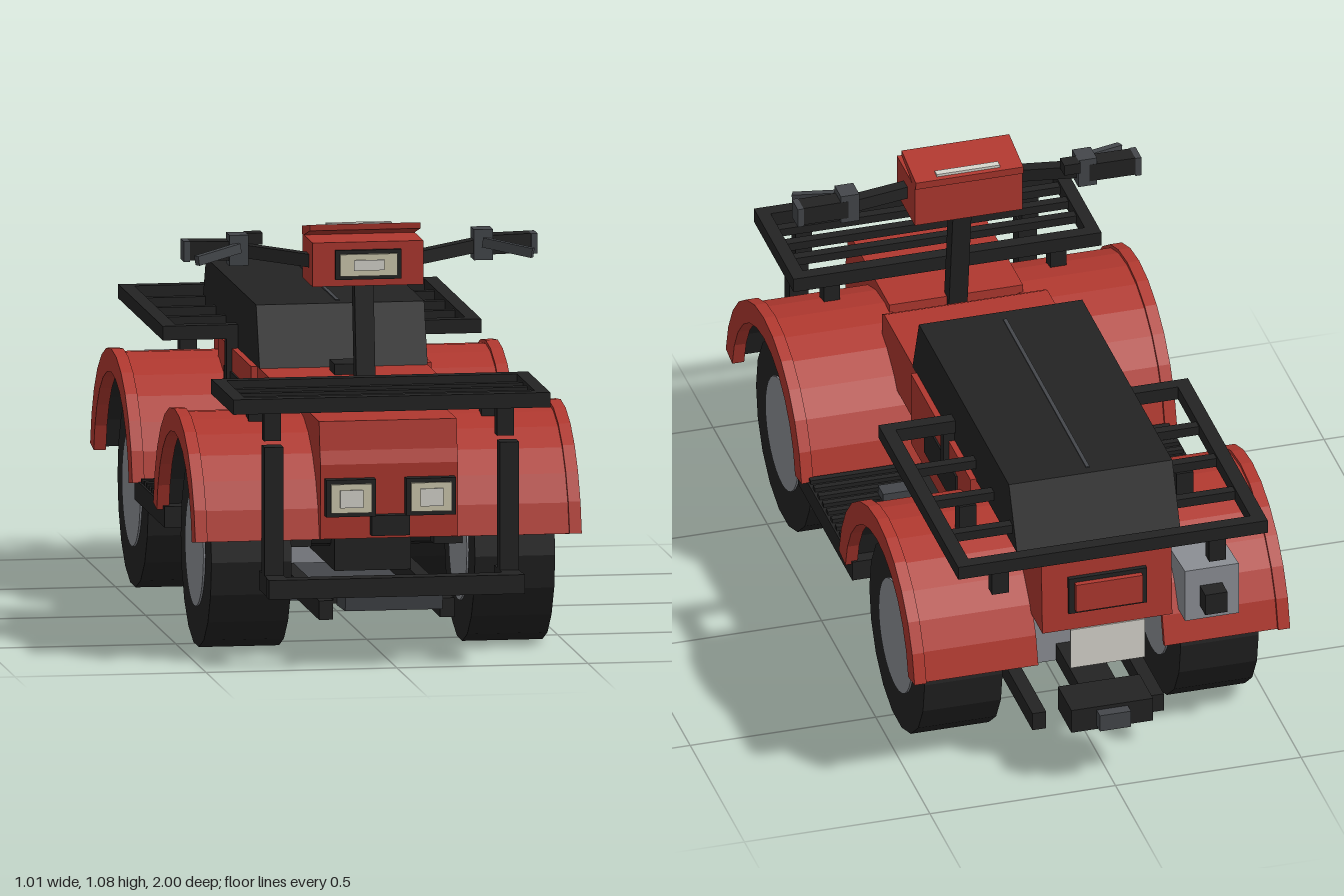
import * as THREE from 'three';

const mat = (name, color) => {
  const m = new THREE.MeshStandardMaterial({ color, flatShading: true });
  m.name = name;
  return m;
};

export function createModel() {
  const root = new THREE.Group();
  root.name = 'quadBike';
  const red = mat('red paint', 0xb0382f);
  const black = mat('black', 0x232323);
  const gray = mat('metal gray', 0x8d9096);
  const dark = mat('dark gray', 0x44474b);
  const cream = mat('lamp cream', 0xcfcab0);
  const pale = mat('pale plate', 0xd8d6ce);

  const add = (name, geo, m) => {
    const mesh = new THREE.Mesh(geo, m);
    mesh.name = name;
    root.add(mesh);
    return mesh;
  };
  // Box given by its extents on each axis
  const box = (name, m, x0, x1, y0, y1, z0, z1) => {
    const mesh = add(name, new THREE.BoxGeometry(Math.abs(x1 - x0), Math.abs(y1 - y0), Math.abs(z1 - z0)), m);
    mesh.position.set((x0 + x1) / 2, (y0 + y1) / 2, (z0 + z1) / 2);
    return mesh;
  };
  // Side profile of [z, y] points extruded from x0 to x1
  const prism = (name, m, pts, x0, x1) => {
    const shape = new THREE.Shape(pts.map(([z, y]) => new THREE.Vector2(z, y)));
    const geo = new THREE.ExtrudeGeometry(shape, { depth: x1 - x0, bevelEnabled: false });
    geo.rotateY(-Math.PI / 2).translate(x1, 0, 0);
    return add(name, geo, m);
  };
  // Square bar between two points
  const bar = (name, m, a, b, w, h = w) => {
    const p = new THREE.Vector3(...a), q = new THREE.Vector3(...b);
    const mesh = add(name, new THREE.BoxGeometry(w, h, p.distanceTo(q)), m);
    mesh.position.copy(p).add(q).multiplyScalar(0.5);
    mesh.lookAt(q);
    return mesh;
  };
  const drum = (name, m, r, x0, x1, y, z, sides) => {
    const geo = new THREE.CylinderGeometry(r, r, x1 - x0, sides).rotateZ(Math.PI / 2);
    geo.translate((x0 + x1) / 2, y, z);
    return add(name, geo, m);
  };
  const sidePrism = (name, m, pts, s, x0, x1) =>
    prism(name, m, pts, Math.min(s * x0, s * x1), Math.max(s * x0, s * x1));
  const arch = (cz, cy, r0, r1, n = 12) => {
    const pts = [];
    for (let k = 0; k <= 2 * n + 1; k++) {
      const outer = k <= n;
      const a = THREE.MathUtils.degToRad(9 + (162 * (outer ? k : 2 * n + 1 - k)) / n);
      const r = outer ? r1 : r0;
      pts.push([cz + r * Math.cos(a), cy + r * Math.sin(a)]);
    }
    return pts;
  };

  // Wheels, fenders, axles
  for (const [end, wz, fz] of [['front', 0.52, 0.513], ['rear', -0.525, -0.53]]) {
    drum(end + 'Axle', black, 0.03, -0.26, 0.26, 0.285, wz, 8);
    for (const s of [-1, 1]) {
      const span = (a, b) => (s > 0 ? [a, b] : [-b, -a]);
      drum(end + 'Tire', black, 0.255, ...span(0.24, 0.45), 0.255, wz, 18);
      drum(end + 'Hub', gray, 0.152, ...span(0.235, 0.455), 0.258, wz, 32);
      sidePrism(end + 'Fender', red, arch(fz, 0.268, 0.33, 0.345), s, 0.17, 0.476);
      sidePrism(end + 'FenderLiner', black, arch(fz, 0.268, 0.322, 0.33), s, 0.175, 0.474);
      sidePrism(end + 'FenderLip', red, arch(fz, 0.268, 0.293, 0.354), s, 0.474, 0.506);
      box(end + 'SuspensionArm', black, s * 0.16, s * 0.27, 0.265, 0.305, wz - 0.08, wz + 0.08);
    }
  }

  // Engine, chassis rails and skid plate
  box('engine', gray, -0.165, 0.165, 0.16, 0.475, -0.3, 0.19);
  box('gearbox', gray, -0.15, 0.15, 0.17, 0.42, -0.62, -0.3);
  drum('engineCover', gray, 0.132, -0.17, 0.195, 0.295, -0.155, 8);
  box('skidPlate', dark, -0.177, 0.177, 0.085, 0.108, -0.32, 0.34);
  for (const s of [-1, 1]) box('chassisRail', black, s * 0.14, s * 0.177, 0.108, 0.158, -0.84, 0.83);
  box('frontFrame', black, -0.1, 0.1, 0.2, 0.34, 0.19, 0.6);

  // Footboards with ribs and pedals
  for (const s of [-1, 1]) {
    box('footboard', black, s * 0.165, s * 0.49, 0.27, 0.325, -0.25, 0.25);
    for (let i = 0; i < 9; i++) {
      const z = -0.16 + i * 0.04;
      box('footboardRib', black, s * 0.25, s * 0.485, 0.325, 0.336, z - 0.009, z + 0.009);
    }
    box('pedal', dark, s * 0.24, s * 0.335, 0.336, 0.36, s * 0.02 - 0.024, s * 0.02 + 0.024);
  }

  // Bodywork
  prism('frontCowl', red, [[0.6, 0.325], [0.87, 0.325], [0.875, 0.52], [0.862, 0.555], [0.85, 0.63], [0.47, 0.63], [0.47, 0.5]], -0.18, 0.18);
  prism('tank', red, [[0.4, 0.5], [0.4, 0.65], [0.38, 0.66], [0.05, 0.66], [0.05, 0.5]], -0.22, 0.22);
  box('tankBase', red, -0.175, 0.175, 0.5, 0.6, 0.39, 0.5);
  box('tankCap', black, -0.045, 0.045, 0.65, 0.688, 0.165, 0.255);
  box('midBody', red, -0.236, 0.236, 0.45, 0.66, -0.47, 0.08);
  prism('tail', red, [[-0.47, 0.45], [-0.47, 0.655], [-0.915, 0.65], [-0.925, 0.45]], -0.175, 0.175);
  for (const s of [-1, 1]) box('sidePanel', black, s * 0.235, s * 0.241, 0.505, 0.6, -0.35, -0.058);
  prism('seat', black, [[0.12, 0.655], [0.06, 0.818], [-0.77, 0.818], [-0.845, 0.655]], -0.22, 0.22);
  box('seatSeam', dark, -0.005, 0.005, 0.815, 0.821, -0.745, 0.02);

  // Headlights and centre grille
  for (const s of [-1, 1]) {
    box('headlightBezel', black, s * 0.04, s * 0.17, 0.387, 0.484, 0.86, 0.905);
    box('headlightLens', cream, s * 0.052, s * 0.158, 0.398, 0.473, 0.9, 0.912);
    box('headlightCore', pale, s * 0.075, s * 0.135, 0.412, 0.458, 0.91, 0.917);
  }
  box('noseGrille', black, -0.05, 0.05, 0.335, 0.388, 0.85, 0.9);

  // Tail light, number plate, exhaust, hitch
  box('tailLightFrame', black, -0.105, 0.105, 0.5, 0.605, -0.93, -0.915);
  box('tailLight', red, -0.09, 0.09, 0.512, 0.593, -0.945, -0.925);
  box('numberPlate', pale, -0.1, 0.1, 0.335, 0.45, -0.929, -0.921);
  prism('muffler', gray, [[-0.5, 0.46], [-0.5, 0.54], [-0.66, 0.54], [-0.905, 0.56], [-0.905, 0.41], [-0.8, 0.41]], -0.36, -0.215);
  box('exhaustTip', black, -0.315, -0.255, 0.45, 0.51, -0.955, -0.9);
  box('hitch', black, -0.11, 0.11, 0.165, 0.232, -0.97, -0.845);
  box('hitchMount', black, -0.05, 0.05, 0.17, 0.22, -0.86, -0.6);
  box('hitchEnd', dark, -0.042, 0.042, 0.175, 0.222, -1, -0.97);

  // Front bumper
  box('bumperBar', black, -0.335, 0.335, 0.19, 0.24, 0.95, 1);
  for (const s of [-1, 1]) {
    box('bumperArm', black, s * 0.283, s * 0.333, 0.19, 0.24, 0.82, 0.96);
    box('bumperPost', black, s * 0.283, s * 0.333, 0.22, 0.575, 0.865, 0.915);
  }
  prism('frontGuard', dark, [[0.82, 0.145], [0.82, 0.185], [0.97, 0.19], [0.965, 0.15]], -0.13, 0.125);
  box('guardMount', black, -0.14, 0.14, 0.15, 0.2, 0.7, 0.83);

  // Front rack
  for (const s of [-1, 1]) {
    box('frontRackSide', black, s * 0.38, s * 0.415, 0.663, 0.702, 0.55, 0.915);
    for (const z of [0.59, 0.85]) box('frontRackPost', black, s * 0.283, s * 0.327, 0.585, 0.67, z - 0.02, z + 0.02);
  }
  for (const z of [0.567, 0.897]) box('frontRackEnd', black, -0.415, 0.415, 0.663, 0.702, z - 0.018, z + 0.018);
  for (const z of [0.672, 0.747, 0.822]) box('frontRackSlat', black, -0.385, 0.385, 0.672, 0.694, z - 0.013, z + 0.013);

  // Rear rack
  box('rearRackEnd', black, -0.417, 0.417, 0.685, 0.722, -0.977, -0.942);
  for (const s of [-1, 1]) {
    box('rearRackSide', black, s * 0.38, s * 0.417, 0.685, 0.722, -0.96, -0.24);
    box('rearRackFront', black, s * 0.21, s * 0.4, 0.685, 0.722, -0.275, -0.24);
    for (const z of [-0.455, -0.62, -0.79]) box('rearRackSlat', black, s * 0.2, s * 0.39, 0.69, 0.715, z - 0.013, z + 0.013);
    box('rearRackLeg', black, s * 0.215, s * 0.25, 0.575, 0.69, -0.27, -0.24);
    box('rearRackPost', black, s * 0.27, s * 0.315, 0.6, 0.69, -0.94, -0.905);
    box('rearRackPost', black, s * 0.27, s * 0.315, 0.56, 0.69, -0.64, -0.6);
  }

  // Steering column and handlebar pod
  bar('steeringColumn', black, [0, 0.6, 0.475], [0, 0.95, 0.43], 0.05, 0.045);
  box('pod', red, -0.145, 0.145, 0.932, 1.047, 0.355, 0.52);
  prism('podTop', red, [[0.475, 1.072], [0.477, 1.088], [0.345, 1.066], [0.347, 1.045], [0.37, 1.045]], -0.145, 0.145);
  box('podDisplay', pale, -0.085, 0.085, 1.05, 1.075, 0.357, 0.377);
  box('podLampBezel', black, -0.086, 0.086, 0.95, 1.027, 0.515, 0.53);
  box('podLampLens', cream, -0.075, 0.075, 0.96, 1.017, 0.52, 0.538);
  box('podLampCore', pale, -0.04, 0.04, 0.975, 1.002, 0.53, 0.542);

  // Handlebars, grips, switches and levers
  for (const s of [-1, 1]) {
    bar('handlebar', black, [s * 0.13, 0.99, 0.445], [s * 0.31, 1.012, 0.38], 0.034);
    bar('grip', black, [s * 0.3, 1.012, 0.378], [s * 0.45, 1.015, 0.372], 0.05);
    box('gripEnd', dark, s * 0.447, s * 0.463, 0.987, 1.04, 0.345, 0.4);
    box('switchBox', dark, s * 0.295, s * 0.345, 0.975, 1.055, 0.352, 0.41);
    bar('lever', dark, [s * 0.32, 1.022, 0.41], [s * 0.44, 1.0, 0.47], 0.018, 0.025);
  }
  box('throttle', black, -0.297, -0.253, 1.025, 1.055, 0.338, 0.378);

  return root;
}
